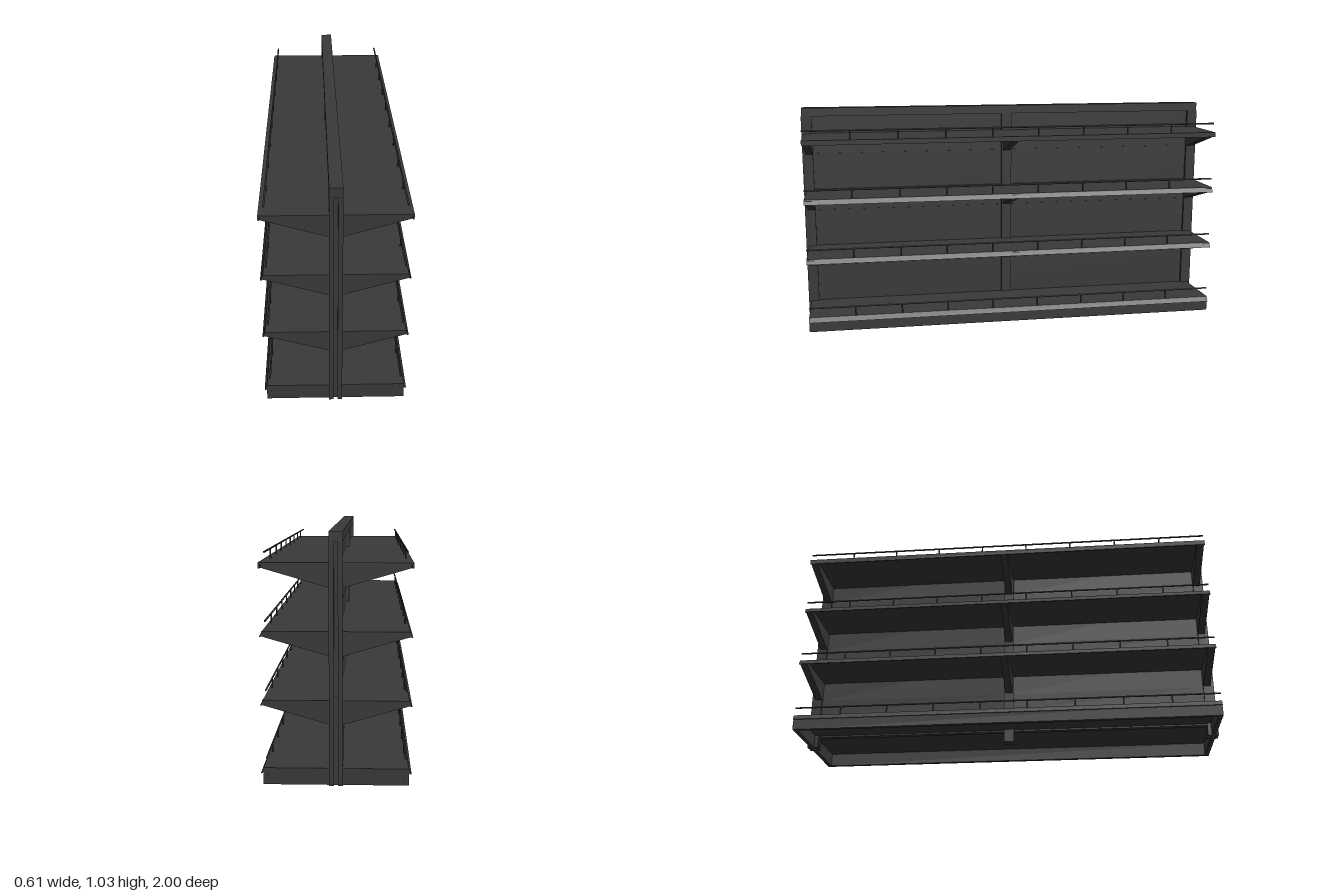
import * as THREE from 'three';

const mat = new THREE.MeshStandardMaterial({ color: 0x3a3a3a, side: THREE.DoubleSide });

function add(parent, name, geo, x = 0, y = 0, z = 0) {
  const m = new THREE.Mesh(geo, mat);
  m.name = name;
  m.position.set(x, y, z);
  parent.add(m);
  return m;
}
const box = (w, h, d) => new THREE.BoxGeometry(w, h, d);

// Extrudes an x-y outline along z, centred on z = 0
function prism(points, depth) {
  const shape = new THREE.Shape(points.map(p => new THREE.Vector2(p[0], p[1])));
  const geo = new THREE.ExtrudeGeometry(shape, { depth, bevelEnabled: false });
  return geo.translate(0, 0, -depth / 2);
}
const mirrored = (points, s) => points.map(([x, y]) => [x * s, y]);

const LENGTH = 1.975;
const HALF = 0.028;                    // half width of the uprights
const levels = [0.07, 0.352, 0.633, 0.907];

// Thin shelf plate with a folded front lip; y is measured from its top
const slopedLip = [[0.014, 0], [0.295, 0], [0.307, -0.023], [0.3, -0.023], [0.291, -0.008], [0.014, -0.008]];
const squareLip = [[0.014, 0], [0.307, 0], [0.307, -0.023], [0.3, -0.023], [0.3, -0.008], [0.014, -0.008]];
// Tapered cantilever arm under a shelf
const arm = [[0.02, -0.004], [0.299, -0.004], [0.299, -0.021], [HALF, -0.1], [0.02, -0.1]];

function makeShelf(y, side, isBase, isTop) {
  const g = new THREE.Group();
  g.name = isBase ? 'baseShelf' : 'shelf';
  g.position.y = y;
  add(g, 'shelfPlate', prism(mirrored(isTop ? squareLip : slopedLip, side), LENGTH));
  if (!isBase) {
    for (const z of [-0.967, 0, 0.967]) {
      add(g, 'bracket', prism(mirrored(arm, side), 0.034), 0, 0, z);
    }
  }
  // Low wire guard: one long rod on short pins
  const rod = new THREE.CylinderGeometry(0.004, 0.004, LENGTH, 8).rotateX(Math.PI / 2);
  add(g, 'guardRod', rod, side * 0.282, 0.041, 0);
  for (let i = 0; i < 8; i++) {
    add(g, 'guardPin', new THREE.CylinderGeometry(0.0035, 0.0035, 0.045, 8),
      side * 0.282, 0.019, (i - 3.5) * 0.22);
  }
  return g;
}

// Slotted upright: H-shaped section with a groove in both end faces
function makeUpright(z) {
  const w = HALF, d = 0.025, s = 0.008, k = 0.012;
  const outline = [[-w, -d], [-s, -d], [-s, -k], [s, -k], [s, -d], [w, -d],
    [w, d], [s, d], [s, k], [-s, k], [-s, d], [-w, d]];
  const geo = prism(outline, 0.99).rotateX(-Math.PI / 2);
  geo.translate(0, 0.495, 0);
  const g = new THREE.Group();
  g.name = 'upright';
  add(g, 'uprightPost', geo);
  g.position.z = z;
  return g;
}

export function createModel() {
  const model = new THREE.Group();
  model.name = 'doubleSidedShelving';

  for (const z of [-0.975, 0, 0.975]) model.add(makeUpright(z));
  add(model, 'topRail', box(HALF * 2, 0.04, 1.994), 0, 1.01, 0);

  // Back panels, with fine seams between the boards
  const seams = [0.055, 0.165, 0.25, 0.44, 0.53, 0.72, 0.81, 0.992];
  for (const z of [-0.487, 0.487]) {
    for (let i = 0; i < seams.length - 1; i++) {
      const h = seams[i + 1] - seams[i];
      const w = i % 2 ? 0.032 : 0.028;
      add(model, 'backPanel', box(w, h, 0.93), 0, seams[i] + h / 2, z);
    }
  }

  // Shelves on both sides
  levels.forEach((y, i) => {
    for (const side of [-1, 1]) model.add(makeShelf(y, side, i === 0, i === 3));
  });

  // Open plinth frame, hollow from below
  const plinth = new THREE.Group();
  plinth.name = 'plinth';
  for (const s of [-1, 1]) {
    add(plinth, 'plinthSide', box(0.02, 0.062, LENGTH), s * 0.287, 0.031, 0);
    add(plinth, 'plinthEnd', box(0.57, 0.062, 0.02), 0, 0.031, s * 0.977);
  }
  model.add(plinth);
  return model;
}
